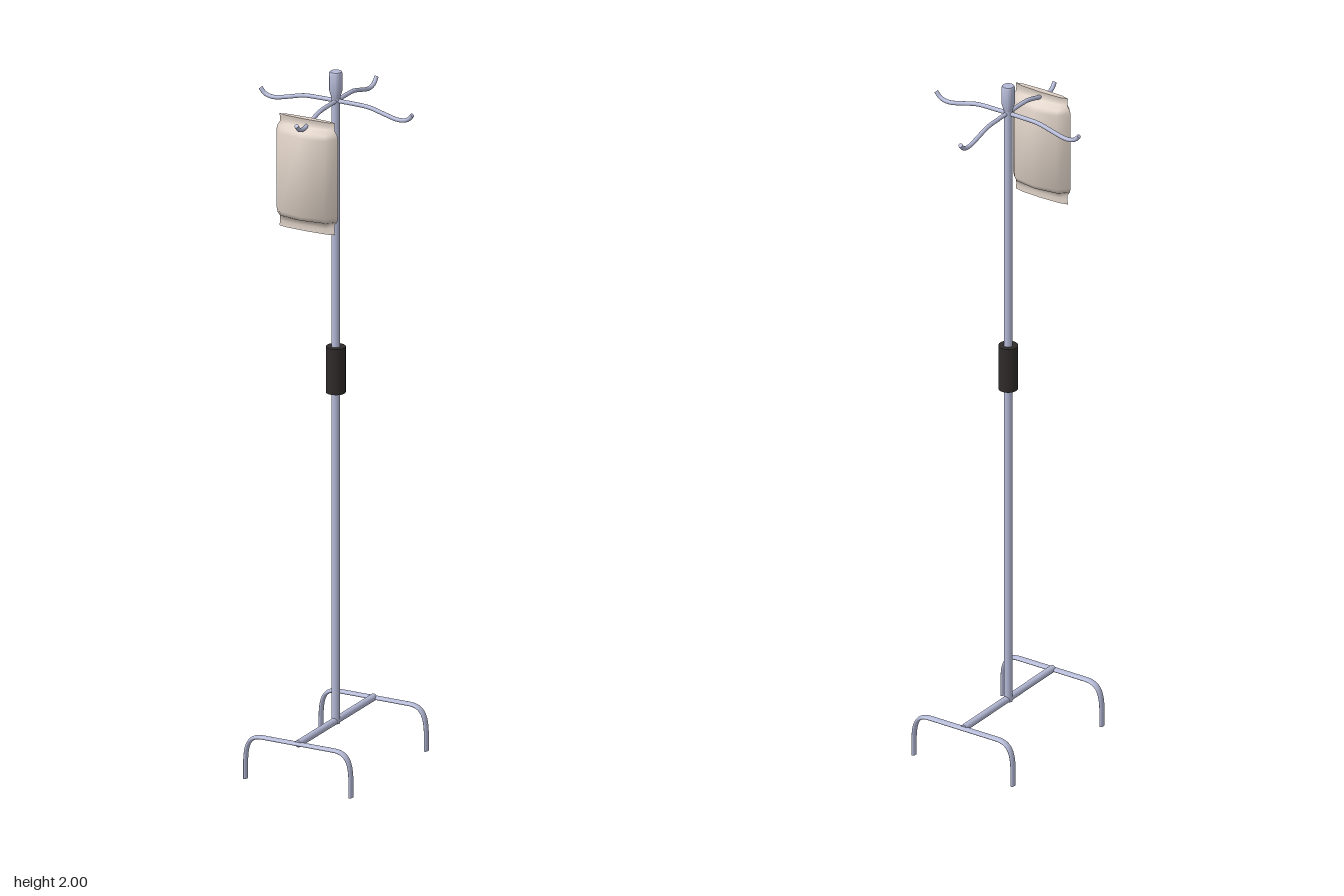
import * as THREE from 'three';
import { mergeGeometries, toCreasedNormals } from 'three/addons/utils/BufferGeometryUtils.js';

const metal = new THREE.MeshStandardMaterial({ color: 0xb4b9d6 });
const rubber = new THREE.MeshStandardMaterial({ color: 0x2f2a2a });
const plastic = new THREE.MeshStandardMaterial({ color: 0xdccfc4 });
const v = (x, y, z = 0) => new THREE.Vector3(x, y, z);

// Tube along a curve, closed with a flat disc at both ends
function cappedTube(curve, segments, radius, sides) {
  const parts = [new THREE.TubeGeometry(curve, segments, radius, sides)];
  for (const [t, sign] of [[0, -1], [1, 1]]) {
    const disc = new THREE.CircleGeometry(radius, sides);
    const dir = curve.getTangentAt(t).multiplyScalar(sign);
    disc.applyQuaternion(new THREE.Quaternion().setFromUnitVectors(v(0, 0, 1), dir));
    const p = curve.getPointAt(t);
    parts.push(disc.translate(p.x, p.y, p.z));
  }
  return mergeGeometries(parts);
}

// Pillow-shaped bag lofted from eight-sided rings: [y, half width, half depth]
function bagGeometry() {
  const rings = [
    [1.593, 0.086, 0.009], [1.608, 0.084, 0.006], [1.622, 0.085, 0.012], [1.631, 0.092, 0.034],
    [1.645, 0.095, 0.043], [1.87, 0.095, 0.043], [1.882, 0.092, 0.034], [1.893, 0.085, 0.012],
    [1.904, 0.084, 0.006], [1.916, 0.086, 0.009],
  ];
  const outline = [[1, 0], [0.73, 0.7], [0, 1], [-0.73, 0.7], [-1, 0], [-0.73, -0.7], [0, -1], [0.73, -0.7]];
  const n = outline.length, pos = [], idx = [];
  for (const [y, w, d] of rings) for (const [a, b] of outline) pos.push(a * w, y, b * d);
  for (let r = 0; r < rings.length - 1; r++) {
    for (let i = 0; i < n; i++) {
      const a = r * n + i, b = r * n + (i + 1) % n;
      idx.push(a, a + n, b, b, a + n, b + n);
    }
  }
  // End seams
  const top = (rings.length - 1) * n;
  for (let i = 1; i < n - 1; i++) {
    idx.push(0, i, i + 1);
    idx.push(top, top + i + 1, top + i);
  }
  const g = new THREE.BufferGeometry();
  g.setAttribute('position', new THREE.Float32BufferAttribute(pos, 3));
  g.setIndex(idx);
  return toCreasedNormals(g, 1.25);
}

export function createModel() {
  const group = new THREE.Group();
  const add = (name, geometry, material, x = 0, y = 0, z = 0) => {
    const mesh = new THREE.Mesh(geometry, material);
    mesh.name = name;
    mesh.position.set(x, y, z);
    group.add(mesh);
    return mesh;
  };
  const cx = -0.002;

  // Upright with a grip sleeve and a stepped cap
  add('pole', new THREE.CylinderGeometry(0.012, 0.012, 1.83, 24), metal, cx, 1.035, 0);
  add('gripSleeve', new THREE.CylinderGeometry(0.027, 0.027, 0.132, 24), rubber, cx, 1.141, 0);
  const capProfile = [[0, 1.925], [0.012, 1.925], [0.018, 1.945], [0.018, 1.996], [0.016, 2], [0, 2]]
    .map(([r, y]) => new THREE.Vector2(r, y));
  add('poleCap', toCreasedNormals(new THREE.LatheGeometry(capProfile, 24), 0.6), metal, cx, 0, 0);

  // Two crossing hook bars with upturned ends
  const half = [[0.05, 1.916], [0.1, 1.914], [0.15, 1.902], [0.185, 1.894], [0.205, 1.894], [0.222, 1.9], [0.235, 1.914]];
  const hookPath = new THREE.CatmullRomCurve3([
    ...half.map(([x, y]) => v(-x, y)).reverse(), v(0, 1.916), ...half.map(([x, y]) => v(x, y)),
  ]);
  const hook = cappedTube(hookPath, 64, 0.006, 12);
  add('sideHooks', hook, metal);
  const frontHooks = add('frontAndBackHooks', hook, metal);
  frontHooks.rotation.y = Math.PI / 2;
  frontHooks.scale.x = 0.965;

  // Base: a spine joining two flattened arched legs
  add('baseSpine', new THREE.CylinderGeometry(0.01, 0.01, 0.43, 20).rotateX(Math.PI / 2), metal, cx, 0.127, 0);
  const legPath = new THREE.CurvePath();
  const w = 0.163, h = 0.126;
  legPath.add(new THREE.LineCurve3(v(-w, 0), v(-w, 0.035)));
  legPath.add(new THREE.CubicBezierCurve3(v(-w, 0.035), v(-w, 0.095), v(-0.155, h), v(-0.11, h)));
  legPath.add(new THREE.LineCurve3(v(-0.11, h), v(0.11, h)));
  legPath.add(new THREE.CubicBezierCurve3(v(0.11, h), v(0.155, h), v(w, 0.095), v(w, 0.035)));
  legPath.add(new THREE.LineCurve3(v(w, 0.035), v(w, 0)));
  const leg = cappedTube(legPath, 72, 0.0055, 16).scale(1, 1, 1.8);
  add('frontLegs', leg, metal, cx, 0, 0.213);
  add('backLegs', leg, metal, cx, 0, -0.215);

  // Fluid bag hanging on the front hook
  add('fluidBag', bagGeometry(), plastic, cx, 0, 0.162);

  return group;
}
